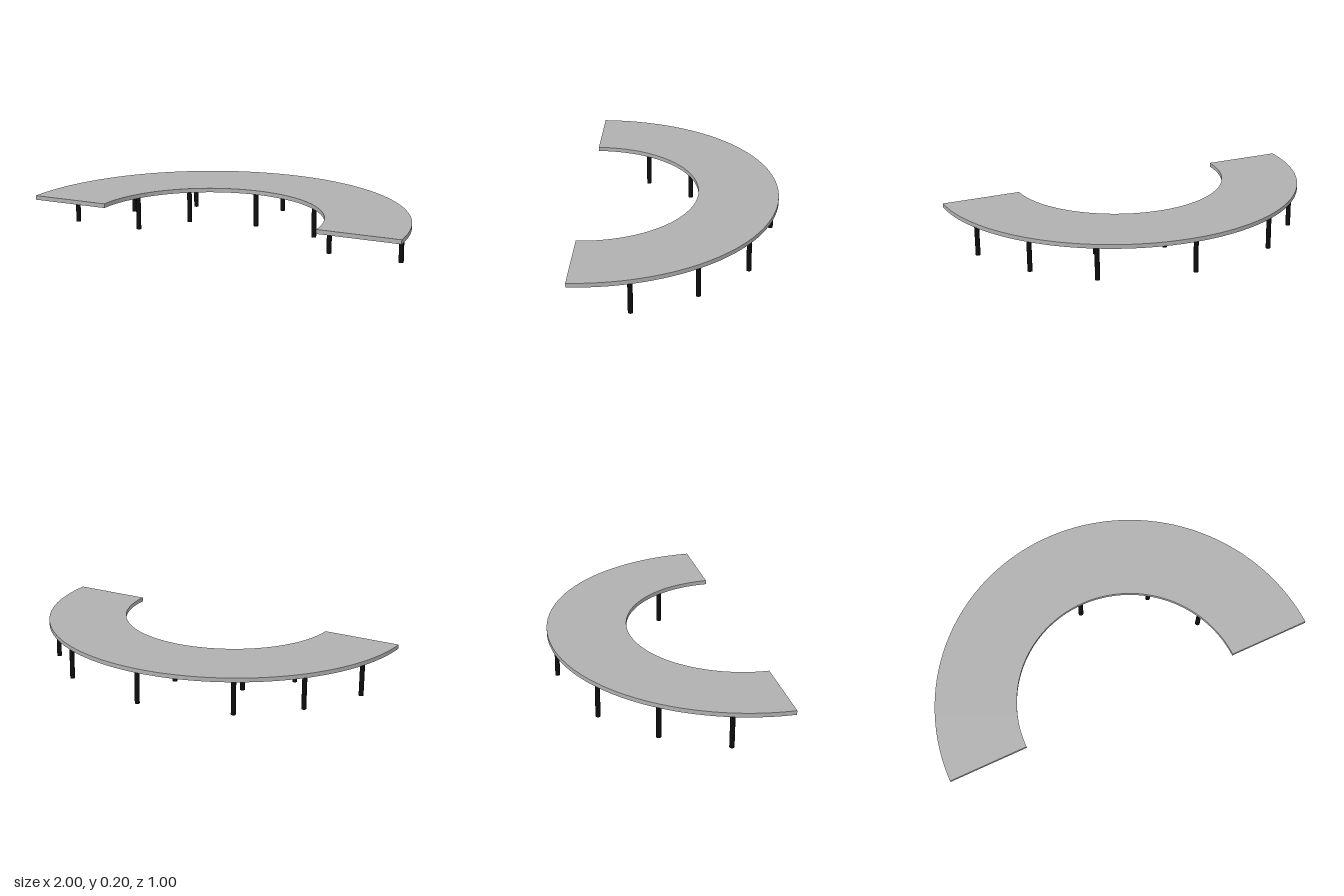
import * as THREE from 'three';
import { toCreasedNormals } from 'three/addons/utils/BufferGeometryUtils.js';

const TOP = 0.2;
const THICKNESS = 0.022;
const CENTRE_Z = 0.5; // centre of the half ring

export function createModel() {
  const group = new THREE.Group();
  group.name = 'curvedBench';
  const slabGrey = new THREE.MeshStandardMaterial({ name: 'slabGrey', color: 0xb0b0b0 });
  const legBlack = new THREE.MeshStandardMaterial({ name: 'legBlack', color: 0x0c0c0c });

  // Half-ring seat slab
  const shape = new THREE.Shape();
  shape.absarc(0, 0, 1, 0, Math.PI, false);
  shape.absarc(-0.004, 0, 0.58, Math.PI, 0, true);
  shape.closePath();
  const slab = new THREE.ExtrudeGeometry(shape, {
    depth: THICKNESS, bevelEnabled: false, curveSegments: 72,
  });
  slab.rotateX(-Math.PI / 2);
  slab.translate(0, TOP - THICKNESS, CENTRE_Z);
  const seat = new THREE.Mesh(toCreasedNormals(slab, 0.5), slabGrey);
  seat.name = 'seatSlab';
  group.add(seat);

  // Round legs: one central and mirrored pairs, as [x, z]
  const legHeight = TOP - THICKNESS;
  const legGeometry = new THREE.CylinderGeometry(0.0125, 0.0125, legHeight, 20);
  const rows = {
    outerLeg: [[0, -0.462], [0.483, -0.343], [0.747, -0.1], [0.917, 0.213]],
    innerLeg: [[0, -0.1], [0.363, -0.029], [0.542, 0.213]],
  };
  for (const [name, spots] of Object.entries(rows)) {
    for (const [x, z] of spots) {
      for (const side of x === 0 ? [1] : [1, -1]) {
        const leg = new THREE.Mesh(legGeometry, legBlack);
        leg.name = name;
        leg.position.set(side * x - 0.008, legHeight / 2, z);
        group.add(leg);
      }
    }
  }
  return group;
}
